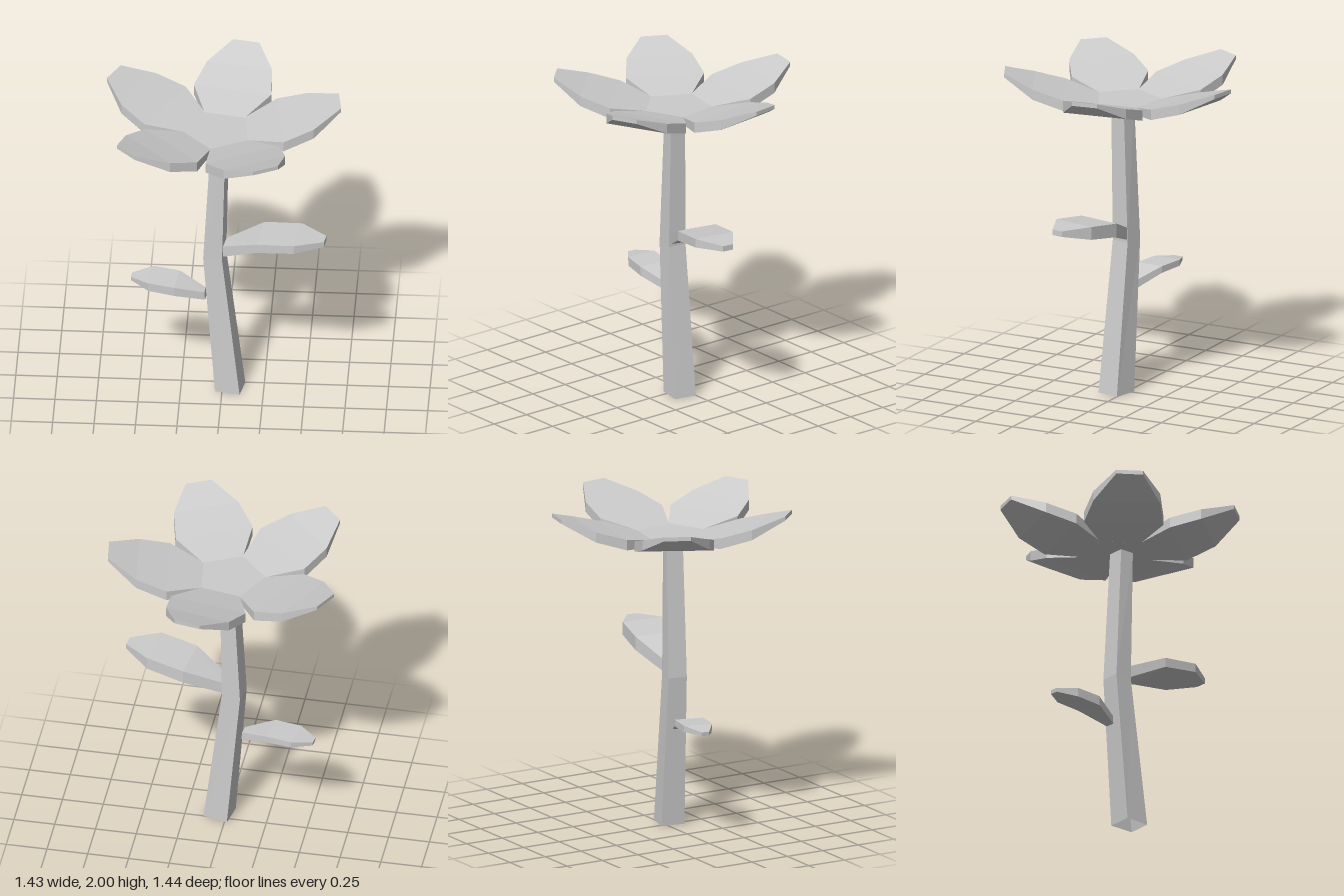
import * as THREE from 'three';

const material = new THREE.MeshStandardMaterial({ color: 0xcccccc, flatShading: true });
const openMaterial = new THREE.MeshStandardMaterial({ color: 0xcccccc, flatShading: true, side: THREE.DoubleSide });

// Joins cross-sections of four corners, counter-clockwise as seen from the far end
function loft(rings, capped) {
  const pos = [];
  const quad = (a, b, c, d) => pos.push(...a, ...b, ...c, ...a, ...c, ...d);
  for (let k = 0; k < rings.length - 1; k++) {
    const p = rings[k], q = rings[k + 1];
    for (let i = 0; i < 4; i++) {
      const j = (i + 1) % 4;
      quad(p[i], p[j], q[j], q[i]);
    }
  }
  if (capped) {
    quad(...[...rings[0]].reverse());
    quad(...rings[rings.length - 1]);
  }
  const geo = new THREE.BufferGeometry();
  geo.setAttribute('position', new THREE.Float32BufferAttribute(pos, 3));
  geo.computeVertexNormals();
  return geo;
}

function mesh(name, geo, mat = material) {
  const m = new THREE.Mesh(geo, mat);
  m.name = name;
  return m;
}

export function createModel() {
  const model = new THREE.Group();
  model.name = 'flower';

  // Bent square stem, open underneath
  const stemRings = [
    [0, [0.108, 0.14], [0.135, 0], [-0.015, -0.038], [-0.042, 0.108]],
    [0.94, [0, 0.1], [0.02, -0.012], [-0.095, -0.036], [-0.115, 0.08]],
    [1.79, [0.02, 0.1], [0.037, 0.005], [-0.05, -0.02], [-0.068, 0.08]],
  ].map(([y, ...corners]) => corners.map(([x, z]) => [x, y, z]));
  model.add(mesh('stem', loft(stemRings, false), openMaterial));

  // Blossom: five-sided centre with a petal on each side
  const blossom = new THREE.Group();
  blossom.name = 'blossom';
  blossom.position.set(-0.027, 0, 0.019);
  const centre = mesh('blossomCentre', new THREE.CylinderGeometry(0.211, 0.211, 0.045, 5, 1, false, 1.08));
  centre.position.y = 1.8075;
  blossom.add(centre);

  // Petal rows: distance out, half width, top, underside
  const petalRings = [
    [0.17, 0.125, 1.83, 1.785],
    [0.375, 0.24, 1.88, 1.815],
    [0.56, 0.202, 1.935, 1.872],
    [0.736, 0.081, 2.0, 1.975],
  ].map(([r, w, top, low]) => [[r, top, -w], [r, top, w], [r, low, w], [r, low, -w]]);
  const petalGeo = loft(petalRings, true);
  for (let i = 0; i < 5; i++) {
    const petal = mesh('petal', petalGeo);
    petal.rotation.y = 0.138 + i * Math.PI * 2 / 5;
    blossom.add(petal);
  }
  model.add(blossom);

  // Leaf rows, each edge as x, z, top, underside: back edge, then front edge
  const leafRings = [
    [[0, -0.005, 0.075, 0], [-0.01, 0.075, 0.075, 0]],
    [[0.25, -0.06, 0.175, 0.09], [0.21, 0.2, 0.18, 0.12]],
    [[0.48, -0.01, 0.205, 0.125], [0.44, 0.25, 0.21, 0.155]],
    [[0.63, 0.11, 0.2, 0.165], [0.62, 0.18, 0.2, 0.165]],
  ].map(([b, f]) => [[b[0], b[2], b[1]], [f[0], f[2], f[1]], [f[0], f[3], f[1]], [b[0], b[3], b[1]]]);
  const leafGeo = loft(leafRings, true);

  const upperLeaf = mesh('upperLeaf', leafGeo);
  upperLeaf.position.y = 0.95;

  // Smaller leaf, lower on the opposite side
  const lowerLeaf = mesh('lowerLeaf', leafGeo);
  lowerLeaf.position.set(-0.105, 0.62, 0.045);
  lowerLeaf.rotation.set(0, Math.PI, -0.1);
  lowerLeaf.scale.setScalar(0.7);
  model.add(upperLeaf, lowerLeaf);

  return model;
}
